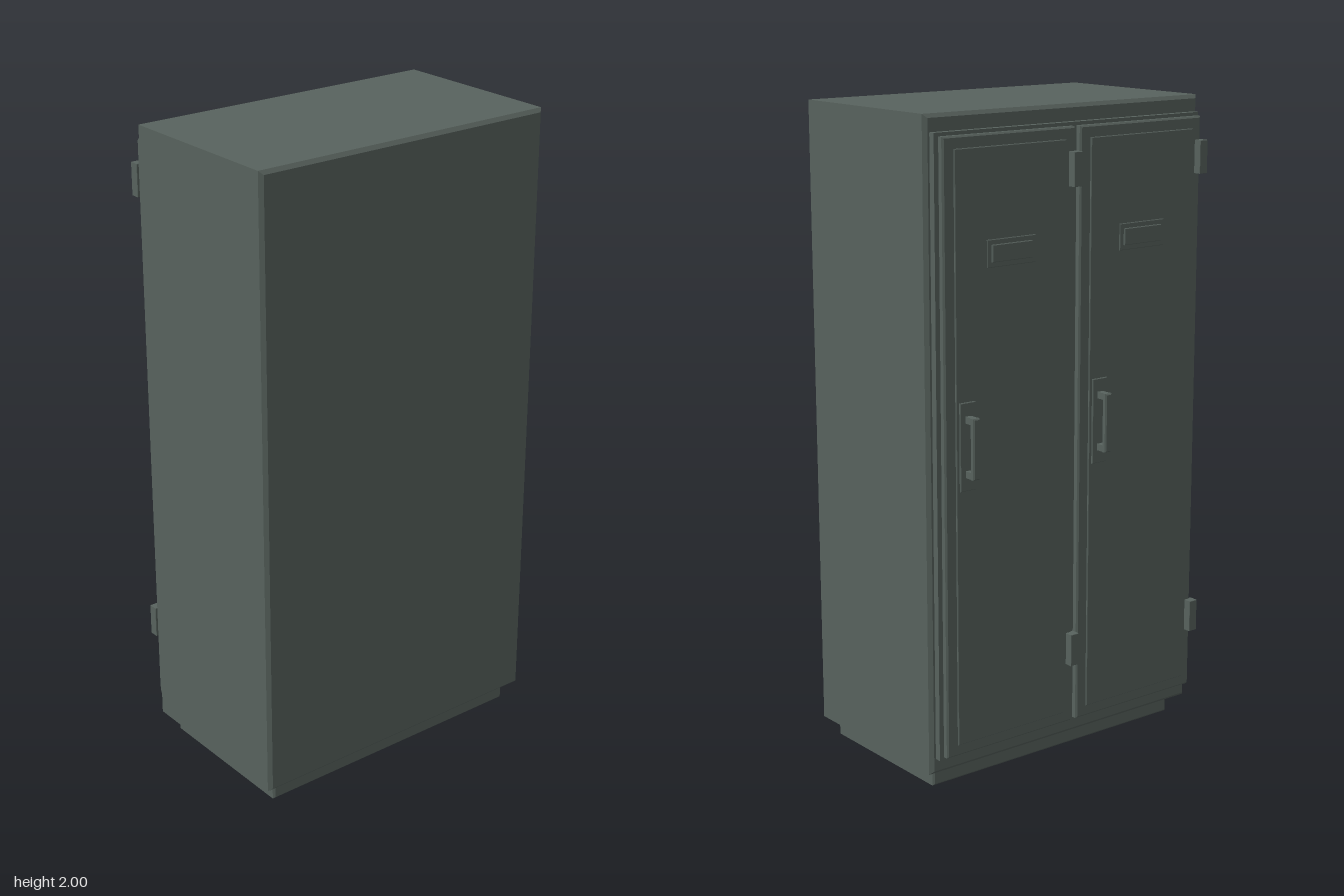
import * as THREE from 'three';

const paint = new THREE.MeshStandardMaterial({ color: 0x58635e });
paint.name = 'grey green paint';

// Box given by its limits, with every edge chamfered by c
function block(name, [x0, x1], [y0, y1], [z0, z1], c = 0) {
  const w = x1 - x0, h = y1 - y0, d = z1 - z0;
  let geometry;
  if (c > 0) {
    const a = w / 2 - c, b = h / 2 - c;
    const outline = new THREE.Shape([
      new THREE.Vector2(-a, -b), new THREE.Vector2(a, -b),
      new THREE.Vector2(a, b), new THREE.Vector2(-a, b),
    ]);
    geometry = new THREE.ExtrudeGeometry(outline, {
      depth: d - 2 * c, bevelEnabled: true, bevelSize: c, bevelThickness: c, bevelSegments: 1,
    });
    geometry.translate(0, 0, c - d / 2);
  } else {
    geometry = new THREE.BoxGeometry(w, h, d);
  }
  const mesh = new THREE.Mesh(geometry, paint);
  mesh.name = name;
  mesh.position.set((x0 + x1) / 2, (y0 + y1) / 2, (z0 + z1) / 2);
  return mesh;
}

// One door with its fittings, hinged at x = 0 and reaching toward +x
function createDoor(name) {
  const door = new THREE.Group();
  door.name = name;
  door.add(
    block('doorLeaf', [0, 0.472], [0.12, 1.94], [-0.292, -0.268], 0.005),
    block('doorPanel', [0.035, 0.435], [0.155, 1.905], [-0.297, -0.285], 0.002),
    block('labelBase', [0.15, 0.325], [1.565, 1.645], [-0.3, -0.29], 0.002),
    block('labelPlate', [0.165, 0.31], [1.58, 1.63], [-0.305, -0.295], 0.002),
    block('handlePlate', [0.37, 0.425], [0.93, 1.19], [-0.302, -0.29], 0.002),
  );

  // Hinges
  for (const y of [0.36, 1.82]) {
    door.add(block('hinge', [-0.007, 0.023], [y - 0.05, y + 0.05], [-0.317, -0.287], 0.001));
  }

  // Pull handle
  const handle = new THREE.Group();
  handle.name = 'handle';
  handle.add(block('handleGrip', [0.385, 0.409], [0.97, 1.15], [-0.343, -0.325], 0.004));
  for (const y of [0.98, 1.14]) {
    handle.add(block('handlePost', [0.387, 0.407], [y - 0.01, y + 0.01], [-0.335, -0.295]));
  }
  door.add(handle);
  return door;
}

export function createModel() {
  const model = new THREE.Group();
  model.name = 'locker';

  // Cabinet
  model.add(
    block('plinth', [-0.47, 0.47], [0, 0.075], [-0.205, 0.305], 0.006),
    block('cabinetBody', [-0.51, 0.51], [0.06, 2], [-0.25, 0.34], 0.011),
    block('doorFrame', [-0.493, 0.493], [0.11, 1.95], [-0.27, -0.24]),
  );

  // Two identical doors on the rear face
  ['rightDoor', 'leftDoor'].forEach((name, i) => {
    const door = createDoor(name);
    door.position.x = [-0.484, 0.008][i];
    model.add(door);
  });
  return model;
}
